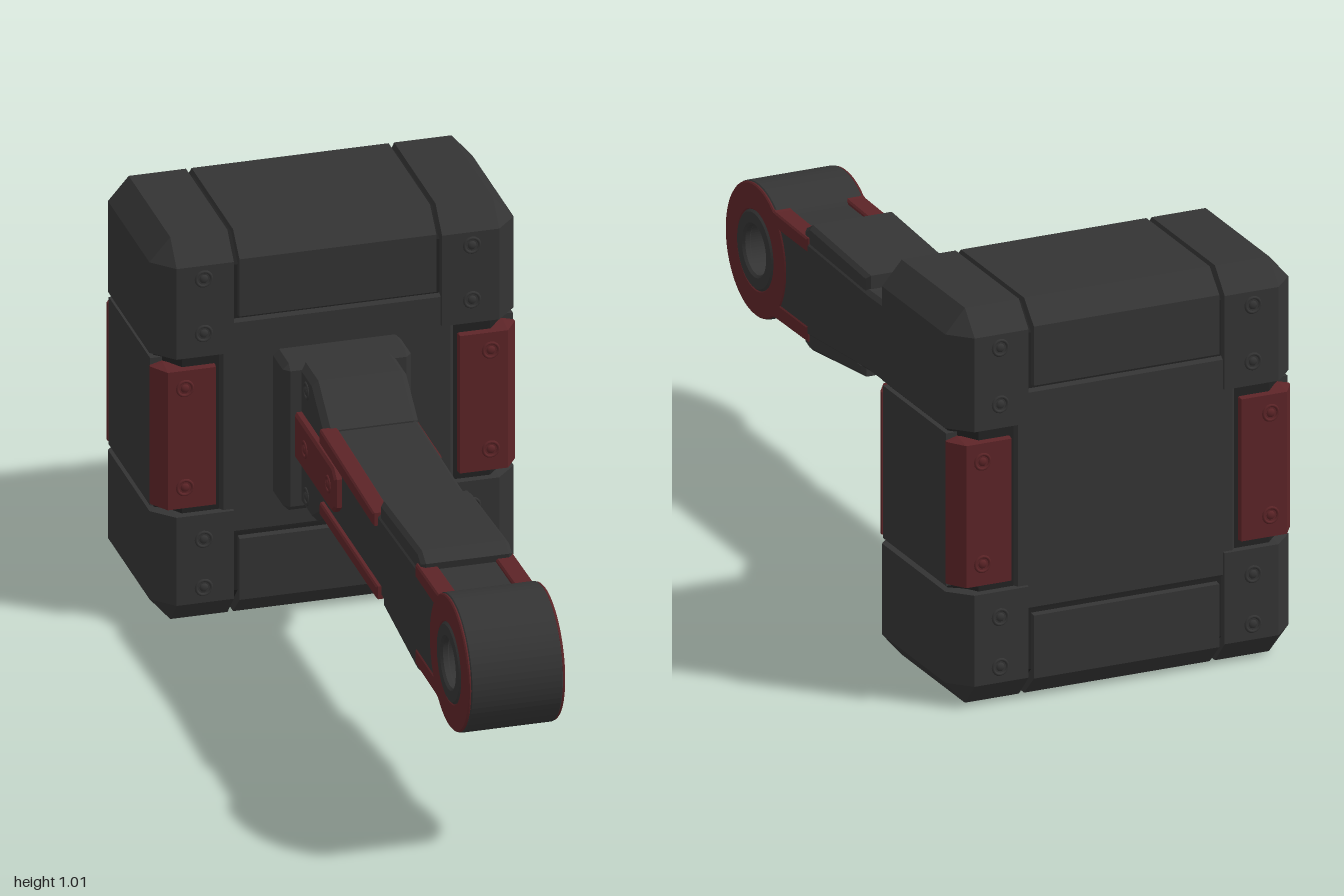
import * as THREE from 'three';
import { ConvexGeometry } from 'three/addons/geometries/ConvexGeometry.js';

const mat = (name, color) => {
  const m = new THREE.MeshStandardMaterial({ color });
  m.name = name;
  return m;
};

// Box from lo to hi; each side has its own chamfer (cLo, cHi per axis)
function chamferBox(lo, hi, cLo, cHi) {
  const pts = [];
  for (let i = 0; i < 8; i++) {
    const s = [i & 1, (i >> 1) & 1, (i >> 2) & 1];
    const outer = s.map((k, a) => (k ? hi[a] : lo[a]));
    const inner = s.map((k, a) => (k ? hi[a] - cHi[a] : lo[a] + cLo[a]));
    for (let a = 0; a < 3; a++) {
      const p = inner.slice();
      p[a] = outer[a];
      pts.push(new THREE.Vector3(...p));
    }
  }
  return new ConvexGeometry(pts);
}

// Side profile in (z, y), extruded across x from x0 to x1 with a small bevel
function sideExtrude(shape, x0, x1, bevel = 0.008, curveSegments = 32) {
  const g = new THREE.ExtrudeGeometry(shape, {
    depth: x1 - x0 - 2 * bevel, bevelEnabled: bevel > 0, bevelSize: bevel,
    bevelThickness: bevel, bevelOffset: -bevel, bevelSegments: 1, curveSegments,
  });
  g.rotateY(-Math.PI / 2);
  g.translate(x1 - bevel, 0, 0);
  return g;
}

const poly = (pts) => new THREE.Shape(pts.map(([z, y]) => new THREE.Vector2(z, y)));

function annulus(z, y, outer, inner) {
  const s = new THREE.Shape().absarc(z, y, outer, 0, Math.PI * 2, false);
  s.holes.push(new THREE.Path().absarc(z, y, inner, 0, Math.PI * 2, true));
  return s;
}

export function createModel() {
  const model = new THREE.Group();
  model.name = 'hammer';
  const dark = mat('darkMetal', 0x343434);
  const red = mat('darkRed', 0x5c2427);
  const seam = mat('seamShadow', 0x222222);

  const head = new THREE.Group();
  head.name = 'head';
  const handle = new THREE.Group();
  handle.name = 'handle';
  model.add(head, handle);

  const add = (parent, name, geometry, material) => {
    const m = new THREE.Mesh(geometry, material);
    m.name = name;
    parent.add(m);
    return m;
  };
  // Mirrored chamfered block: x range given for the +x side
  const sideBlock = (name, s, lo, hi, cLo, cHi, material) => {
    const l = lo.slice(), h = hi.slice(), a = cLo.slice(), b = cHi.slice();
    if (s < 0) { l[0] = -hi[0]; h[0] = -lo[0]; a[0] = cHi[0]; b[0] = cLo[0]; }
    add(head, name, chamferBox(l, h, a, b), material);
  };
  // Bolt: raised ring with a low centre, facing the given direction
  const bolt = (parent, pos, dir, material) => {
    const g = new THREE.Group();
    g.name = 'bolt';
    add(g, 'boltRing', new THREE.TorusGeometry(0.019, 0.004, 6, 16), material);
    add(g, 'boltCentre', new THREE.SphereGeometry(0.011, 10, 6).scale(1, 1, 0.5), material);
    g.position.set(...pos);
    g.quaternion.setFromUnitVectors(new THREE.Vector3(0, 0, 1), new THREE.Vector3(...dir));
    parent.add(g);
  };

  // ---- Head ----
  const zF = -0.535, zB = -1, top = 1.015, X = 0.455, e = 0.008;
  add(head, 'headCore', chamferBox([-0.44, 0.015, zB + 0.016], [0.44, 1, zF - 0.016],
    [0.055, 0.06, 0.055], [0.055, 0.06, 0.055]), seam);
  add(head, 'centrePanel', chamferBox([-0.292, 0.228, zB + 0.008], [0.292, 0.797, zF - 0.008],
    [e, e, e], [e, e, e]), dark);
  add(head, 'topBar', chamferBox([-0.246, 0.8, zB], [0.246, top, zF],
    [0, e, 0.055], [0, 0.055, 0.055]), dark);
  add(head, 'bottomBar', chamferBox([-0.246, 0, zB], [0.246, 0.225, zF],
    [0, 0.055, 0.055], [0, e, 0.055]), dark);

  for (const s of [1, -1]) {
    // corner caps
    sideBlock('topCorner', s, [0.252, 0.706, zB], [X, top, zF],
      [e, e, 0.055], [0.052, 0.06, 0.055], dark);
    sideBlock('bottomCorner', s, [0.252, 0, zB], [X, 0.302, zF],
      [e, 0.06, 0.055], [0.052, e, 0.055], dark);
    // side panel with red plates wrapping the front and back edges
    sideBlock('sidePanel', s, [0.29, 0.308, zB + 0.055], [X - 0.002, 0.7, zF - 0.055],
      [0, e, 0], [0, e, 0], dark);
    sideBlock('frontPlate', s, [0.297, 0.309, zF - 0.055], [X, 0.69, zF],
      [e, e, 0], [0.03, e, 0.045], red);
    sideBlock('backPlate', s, [0.297, 0.309, zB], [X, 0.69, zB + 0.055],
      [e, e, 0.045], [0.03, e, 0], red);
    for (const [z, d] of [[zF, 1], [zB, -1]]) {
      for (const y of [0.92, 0.775, 0.228, 0.1]) bolt(head, [s * 0.335, y, z], [0, 0, d], dark);
      for (const y of [0.635, 0.372]) bolt(head, [s * 0.382, y, z], [0, 0, d], red);
    }
  }

  // ---- Handle ----
  add(handle, 'flange', chamferBox([-0.16, 0.315, -0.56], [0.16, 0.705, -0.445],
    [0.015, 0.015, 0], [0.015, 0.015, 0.015]), dark);
  add(handle, 'collar', sideExtrude(poly([[-0.46, 0.33], [-0.35, 0.33], [-0.24, 0.4],
    [-0.24, 0.62], [-0.35, 0.703], [-0.46, 0.703]]), -0.118, 0.118, 0.015), dark);
  add(handle, 'shaft', sideExtrude(poly([[-0.46, 0.4], [0.2, 0.402], [0.56, 0.372], [0.73, 0.375],
    [0.73, 0.622], [0.56, 0.62], [0.2, 0.608], [-0.46, 0.62]]), -0.118, 0.118, 0.01), dark);
  add(handle, 'topArmour', sideExtrude(poly([[0.215, 0.59], [0.56, 0.59], [0.575, 0.64],
    [0.54, 0.66], [0.215, 0.643]]), -0.114, 0.114, 0.01), dark);
  add(handle, 'bottomArmour', sideExtrude(poly([[0.24, 0.375], [0.54, 0.338], [0.575, 0.35],
    [0.56, 0.42], [0.24, 0.41]]), -0.114, 0.114, 0.01), dark);

  // red strips along one long side of the shaft
  add(handle, 'topStrip', sideExtrude(poly([[-0.25, 0.585], [0.21, 0.577], [0.21, 0.611],
    [-0.25, 0.624]]), -0.13, -0.085, 0.004), red);
  add(handle, 'bottomStrip', sideExtrude(poly([[-0.25, 0.397], [0.24, 0.396], [0.24, 0.43],
    [-0.25, 0.43]]), -0.13, -0.085, 0.004), red);

  // ---- End ring ----
  const rz = 0.83, ry = 0.497;
  add(handle, 'endRing', sideExtrude(annulus(rz, ry, 0.17, 0.066), -0.116, 0.116, 0.004), dark);

  for (const s of [1, -1]) {
    const side = (name, shape, a, b, bevel, material) => add(handle, name,
      sideExtrude(shape, s > 0 ? a : -b, s > 0 ? b : -a, bevel), material);
    side('ringPlate', annulus(rz, ry, 0.168, 0.1), 0.112, 0.121, 0.003, red);
    side('bushing', annulus(rz, ry, 0.101, 0.062), 0.1, 0.124, 0.006, dark);
    // red rails running from the ring under the armour
    side('topRail', poly([[0.54, 0.592], [0.72, 0.592], [0.77, 0.64], [0.72, 0.632],
      [0.54, 0.628]]), 0.072, 0.121, 0.004, red);
    side('bottomRail', poly([[0.54, 0.362], [0.72, 0.36], [0.77, 0.352], [0.72, 0.402],
      [0.54, 0.402]]), 0.072, 0.121, 0.004, red);
    // red collar plate with clipped tip
    side('collarPlate', poly([[-0.44, 0.463], [-0.12, 0.463], [-0.095, 0.485], [-0.095, 0.56],
      [-0.12, 0.582], [-0.44, 0.582]]), 0.11, 0.137, 0.006, red);
    for (const z of [-0.15, -0.35]) bolt(handle, [s * 0.137, 0.525, z], [s, 0, 0], red);
    for (const y of [0.655, 0.375]) bolt(handle, [s * 0.118, y, -0.4], [s, 0, 0], dark);
  }
  return model;
}
